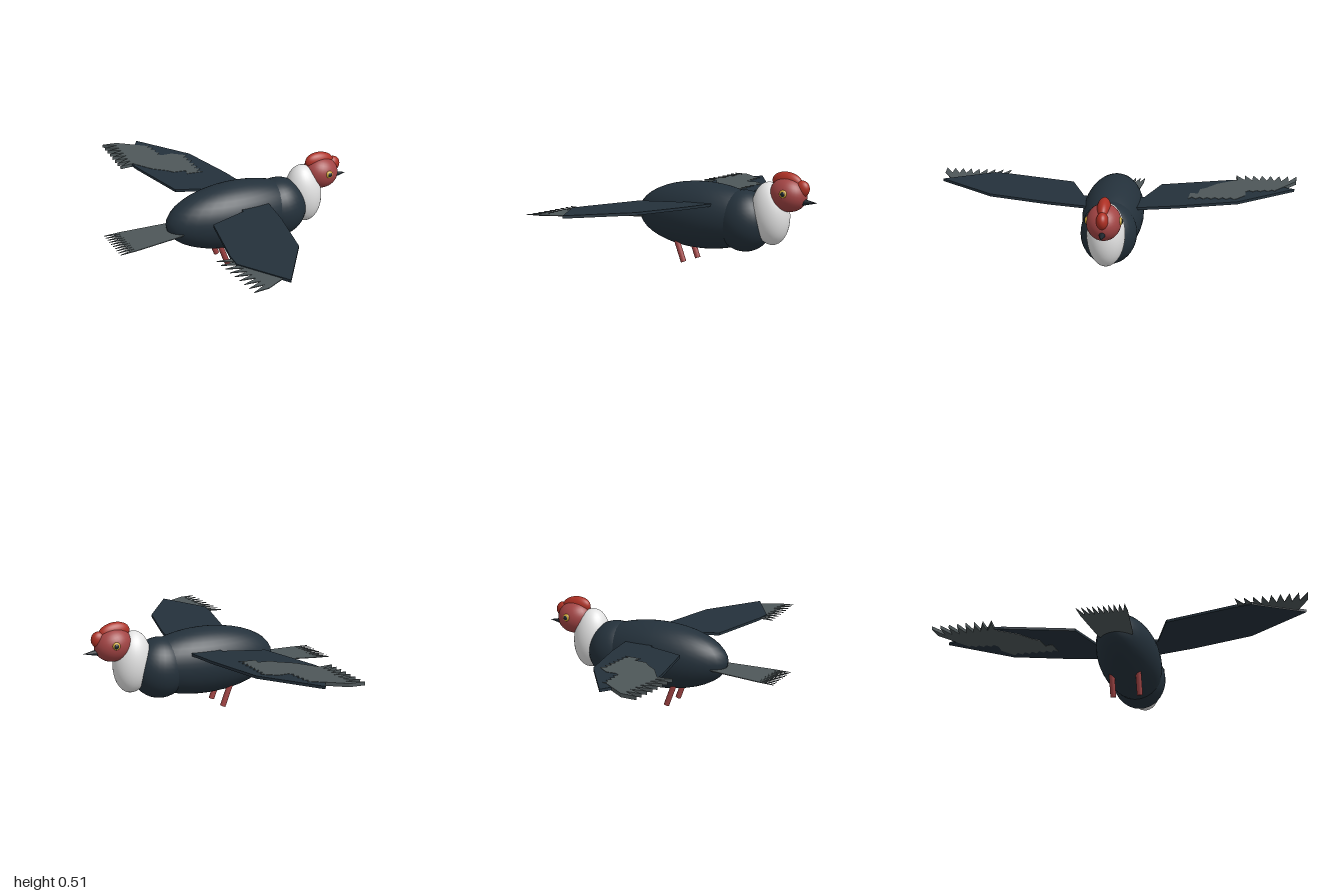
import * as THREE from 'three';

const mat = (name, color, side = THREE.FrontSide) => {
  const m = new THREE.MeshStandardMaterial({ color, side });
  m.name = name;
  return m;
};

export function createModel() {
  const group = new THREE.Group();
  const plumage = mat('darkPlumage', 0x24313b);
  const feather = mat('greyFeather', 0x4e5759, THREE.DoubleSide);
  const white = mat('whiteRuff', 0xe2e2e2);
  const skin = mat('redSkin', 0xa24444);
  const comb = mat('redComb', 0xad3024);
  const horn = mat('darkHorn', 0x1c242b);
  const iris = mat('yellowIris', 0xc9a233);

  const add = (name, geometry, material) => {
    const mesh = new THREE.Mesh(geometry, material);
    mesh.name = name;
    group.add(mesh);
    return mesh;
  };
  const ellipsoid = (name, material, [x, y, z], [rx, ry, rz], tilt = 0) => {
    const m = add(name, new THREE.SphereGeometry(1, 32, 20), material);
    m.position.set(x, y, z);
    m.scale.set(rx, ry, rz);
    m.rotation.z = tilt;
    return m;
  };

  // Body, breast, neck ruff and head
  ellipsoid('body', plumage, [0.01, 0.256, 0], [0.395, 0.178, 0.16]);
  ellipsoid('breast', plumage, [0.265, 0.245, 0], [0.155, 0.161, 0.144], 0.1);
  ellipsoid('neckRuff', white, [0.418, 0.295, 0], [0.1, 0.163, 0.096], 0.1);
  ellipsoid('head', skin, [0.52, 0.4, 0], [0.099, 0.088, 0.086], -0.25);

  // Comb: a long crown lobe and a small lobe over the beak
  ellipsoid('combCrown', comb, [0.513, 0.462, 0], [0.085, 0.052, 0.035], -0.12);
  ellipsoid('combFront', comb, [0.594, 0.432, 0], [0.042, 0.044, 0.03], -0.5);

  // Beak
  const beak = add('beak', new THREE.ConeGeometry(0.024, 0.11, 16), horn);
  beak.rotation.z = -Math.PI / 2;
  beak.position.set(0.627, 0.366, 0);

  // Plate from [x, z] points, following a height rule y(x, z)
  const plate = (name, points, thickness, height, material) => {
    const shape = new THREE.Shape(points.map(([x, z]) => new THREE.Vector2(x, z)));
    const geo = new THREE.ExtrudeGeometry(shape, { depth: thickness, bevelEnabled: false });
    geo.translate(0, 0, -thickness / 2).rotateX(Math.PI / 2);
    const p = geo.attributes.position;
    for (let i = 0; i < p.count; i++) {
      p.setY(i, p.getY(i) + height(p.getX(i), p.getZ(i)));
    }
    geo.computeVertexNormals();
    return add(name, geo, material);
  };
  // Saw-toothed feather edge between two root points
  const teeth = ([x0, z0], [x1, z1], n, reach, spread = 0) => {
    const out = [];
    for (let i = 0; i < n; i++) {
      const t = i / n, u = (i + 0.5) / n;
      out.push([x0 + (x1 - x0) * t, z0 + (z1 - z0) * t]);
      out.push([x0 + (x1 - x0) * u - reach, z0 + (z1 - z0) * u + spread * (u - 0.5)]);
    }
    out.push([x1, z1]);
    return out;
  };

  const wingHeight = (x, z) => 0.329 + 0.022 * Math.abs(z);
  const wing = [[0.14, 0.1], [0.14, 0.14], [0.11, 0.33], [0.035, 0.65], [-0.17, 0.95],
    [-0.32, 0.69], [-0.31, 0.6], [-0.23, 0.24], [-0.02, 0.16], [-0.02, 0.1]];
  const tipFeathers = [[-0.1, 0.65], [-0.25, 0.6],
    ...teeth([-0.31, 0.62], [-0.29, 0.965], 9, 0.08, 0.06), [-0.19, 0.91]];
  // Wider fan of feathers that covers part of the right wing
  const coverFeathers = [[-0.17, 0.48], [-0.24, 0.54],
    ...teeth([-0.31, 0.65], [-0.29, 0.965], 8, 0.08, 0.06), [-0.22, 0.91], [-0.145, 0.85],
    ...teeth([-0.13, 0.85], [-0.115, 0.69], 4, 0.02), [-0.06, 0.69], [0.0, 0.64],
    ...teeth([0.005, 0.63], [0.0, 0.39], 6, 0.025), [-0.09, 0.4], [-0.08, 0.44], [-0.15, 0.45]];

  for (const s of [1, -1]) {
    const side = s > 0 ? 'left' : 'right';
    const mirror = pts => pts.map(([x, z]) => [x, z * s]);

    // Wing with its trailing feathers
    plate(side + 'Wing', mirror(wing), 0.014, wingHeight, plumage);
    if (s > 0) plate('leftWingFeathers', mirror(tipFeathers), 0.004, wingHeight, feather);
    else plate('rightWingFeathers', mirror(coverFeathers), 0.018, wingHeight, feather);

    // Leg
    const leg = add(side + 'Leg', new THREE.CylinderGeometry(0.015, 0.015, 0.13, 12), skin);
    leg.position.set(-0.092, 0.066, 0.07 * s);
    leg.rotation.z = 0.36;

    // Eye
    ellipsoid(side + 'Eye', iris, [0.53, 0.41, 0.079 * s], [0.021, 0.021, 0.013]);
    ellipsoid(side + 'Pupil', horn, [0.532, 0.41, 0.087 * s], [0.013, 0.013, 0.008]);
  }

  // Tail fan
  plate('tail', [[-0.3, 0.07], [-0.34, 0.09],
    ...teeth([-0.6, 0.118], [-0.6, -0.118], 10, 0.087, -0.03), [-0.34, -0.09], [-0.3, -0.07]],
  0.004, x => 0.245 + 0.043 * x, feather);

  return group;
}
